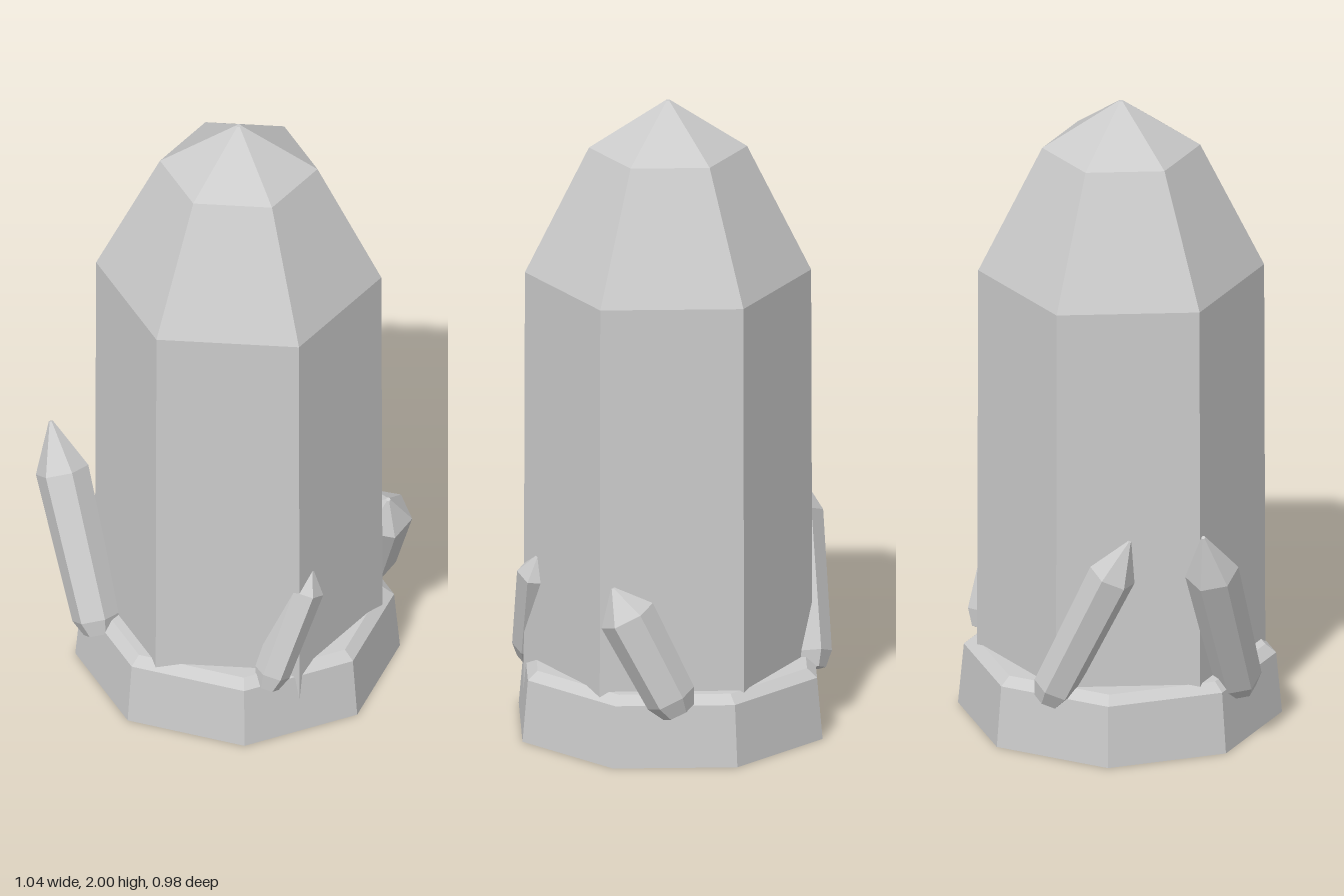
import * as THREE from 'three';

const material = new THREE.MeshStandardMaterial({ color: 0xcccccc, flatShading: true });

// Faceted solid from a [radius, height] profile, listed from bottom to top
function faceted(name, profile, sides, turn = 0) {
  const points = profile.map(([r, y]) => new THREE.Vector2(r, y));
  const mesh = new THREE.Mesh(new THREE.LatheGeometry(points, sides, turn), material);
  mesh.name = name;
  return mesh;
}

// Small six-sided crystal running from its base centre to its tip
function smallCrystal(name, base, tip, radius, shoulder) {
  const from = new THREE.Vector3(...base);
  const axis = new THREE.Vector3(...tip).sub(from);
  const length = axis.length();
  const mesh = faceted(name, [
    [0, 0],
    [radius * 0.6, 0],
    [radius * 0.9, 0.05],
    [radius, length * shoulder],
    [radius * 0.08, length],
    [0, length],
  ], 6);
  mesh.position.copy(from);
  mesh.quaternion.setFromUnitVectors(new THREE.Vector3(0, 1, 0), axis.normalize());
  return mesh;
}

export function createModel() {
  const model = new THREE.Group();
  model.name = 'crystalCluster';

  // Eight-sided rock with a bevelled rim
  model.add(faceted('rockBase', [
    [0, 0], [0.497, 0], [0.479, 0.195], [0.446, 0.222], [0, 0.222],
  ], 8, Math.PI / 8));

  // Large central crystal with a two-step point
  const main = faceted('mainCrystal', [
    [0, 0.1], [0.442, 0.1], [0.438, 1.45], [0.242, 1.85], [0.008, 2], [0, 2],
  ], 6);
  main.position.z = 0.008;
  model.add(main);

  // Small crystals leaning around the foot
  model.add(
    smallCrystal('rightCrystal', [-0.44, 0.165, -0.055], [-0.465, 0.775, -0.355], 0.083, 0.77),
    smallCrystal('backCrystal', [0.03, 0.175, -0.43], [-0.23, 0.73, -0.39], 0.074, 0.79),
    smallCrystal('leftCrystal', [0.445, 0.175, -0.01], [0.42, 0.567, 0.19], 0.088, 0.78),
    smallCrystal('frontCrystal', [-0.1, 0.18, 0.43], [0.062, 0.56, 0.405], 0.062, 0.83),
  );
  return model;
}
